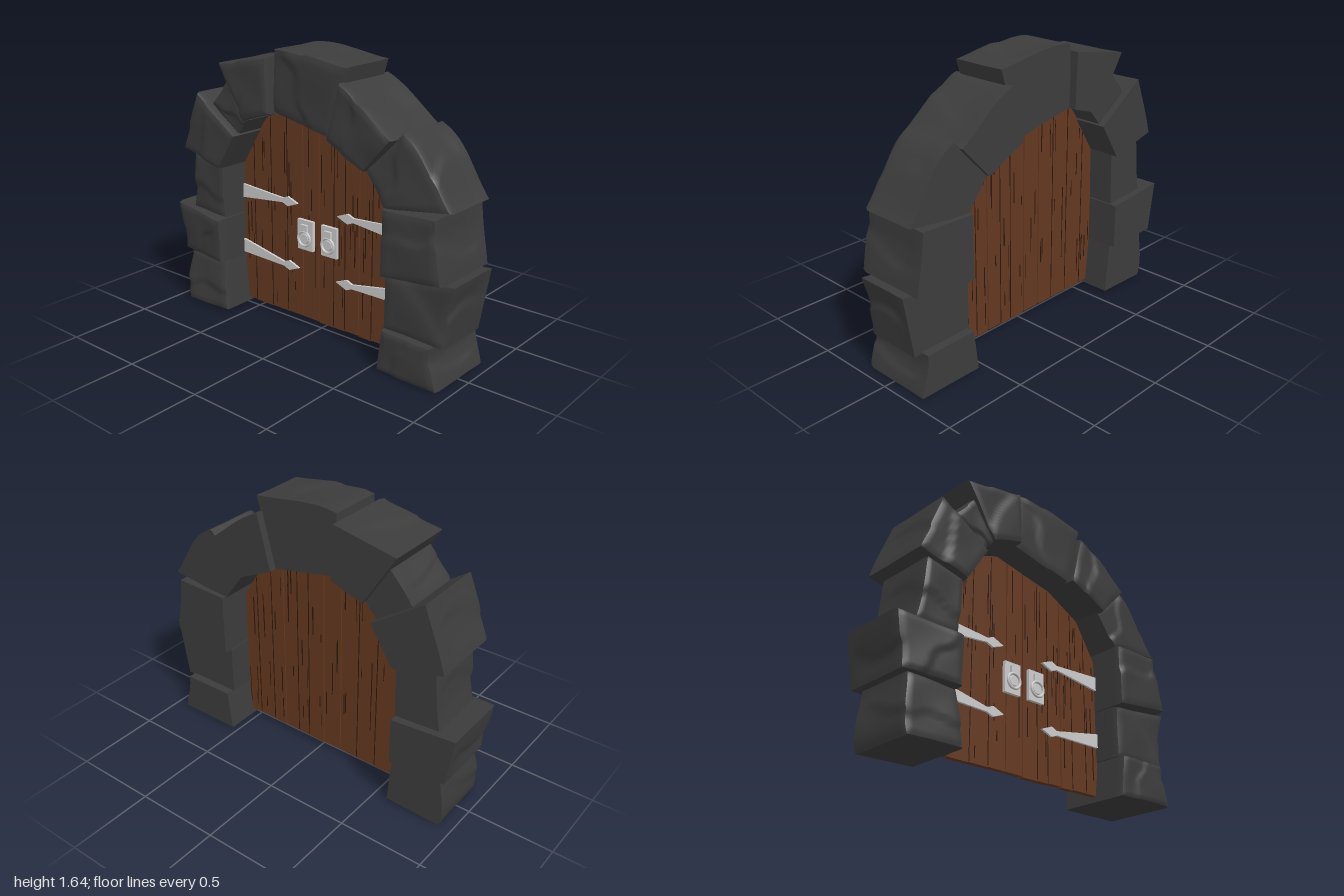
import * as THREE from 'three';

const mat = (color) => new THREE.MeshStandardMaterial({ color });
const stoneMat = mat(0x3c3c3c);
const woodMat = mat(0x643820);
const seamMat = mat(0x2c180c);
const metalMat = mat(0xbcbcbc);

// small seeded random
let seed = 7;
const rand = () => (seed = (seed * 16807) % 2147483647) / 2147483647;

const add = (group, geometry, material, name, x = 0, y = 0, z = 0) => {
  const mesh = new THREE.Mesh(geometry, material);
  mesh.name = name;
  mesh.position.set(x, y, z);
  group.add(mesh);
  return mesh;
};

const smooth = THREE.MathUtils.smoothstep;
const lerp = THREE.MathUtils.lerp;

// Arch stones, counterclockwise from the foot on the +x side.
// c: inner start, outer start, outer end, inner end; z: back, front; bulge of outer edge;
// taper: how far the front leans back toward the outer edge and toward the start
const STONES = [
  { c: [0.54, 0, 0.935, 0, 0.89, 0.235, 0.57, 0.24], z: [-0.23, 0.22], bulge: -0.01 },
  { c: [0.56, 0.235, 0.935, 0.225, 0.995, 0.585, 0.56, 0.535], z: [-0.18, 0.175], bulge: 0 },
  { c: [0.56, 0.54, 0.94, 0.58, 0.89, 0.92, 0.56, 0.91], z: [-0.23, 0.22], bulge: -0.005 },
  { c: [0.56, 0.9, 0.945, 0.945, 0.645, 1.305, 0.42, 1.09], z: [-0.2, 0.19], bulge: 0.035, taper: [0.03, 0] },
  { c: [0.44, 1.08, 0.62, 1.27, 0.27, 1.515, 0.19, 1.2], z: [-0.23, 0.22], bulge: 0.015 },
  { c: [0.19, 1.2, 0.305, 1.595, -0.215, 1.635, -0.23, 1.285], z: [-0.185, 0.17], bulge: 0.02 },
  { c: [-0.215, 1.28, -0.225, 1.595, -0.605, 1.525, -0.41, 1.215], z: [-0.23, 0.22], bulge: 0 },
  { c: [-0.4, 1.215, -0.54, 1.44, -0.68, 1.27, -0.48, 1.12], z: [-0.19, 0.19], bulge: 0.005 },
  { c: [-0.465, 1.12, -0.775, 1.335, -0.905, 0.98, -0.6, 0.905], z: [-0.23, 0.23], bulge: 0.005 },
  { c: [-0.6, 0.93, -0.835, 0.97, -0.88, 0.61, -0.61, 0.59], z: [-0.19, 0.19], bulge: -0.005 },
  { c: [-0.61, 0.585, -1, 0.62, -0.955, 0.325, -0.61, 0.315], z: [-0.23, 0.24], bulge: 0, taper: [0.05, 0] },
  { c: [-0.61, 0.315, -0.91, 0.33, -0.92, 0, -0.585, 0.01], z: [-0.195, 0.225], bulge: 0.02, taper: [0, 0.05] },
];

// Rough block: a box grid bent to four corners, worn and chipped toward the front
function stoneGeometry({ c, z, bulge, taper = [0, 0] }) {
  const geo = new THREE.BoxGeometry(1, 1, 1, 16, 16, 12);
  const pos = geo.attributes.position;
  const phase = rand() * 9;
  const angle = rand() * Math.PI;
  const edge = new THREE.Vector2(c[5] - c[3], c[2] - c[4]).normalize();
  for (let i = 0; i < pos.count; i++) {
    let u = pos.getX(i) + 0.5, v = pos.getY(i) + 0.5;
    const w = pos.getZ(i) + 0.5;
    const front = smooth(w, 0.9, 1);
    const rough = smooth(w, 0, 0.35);
    const rim = Math.max(Math.abs(u - 0.5), Math.abs(v - 0.5)) * 2;
    const inset = 1 - 0.035 * front;
    u = 0.5 + (u - 0.5) * inset;
    v = 0.5 + (v - 0.5) * inset;
    // chipped ledges across the front and over the outer side
    const line = (u - 0.5) * Math.cos(angle) + (v - 0.5) * Math.sin(angle)
      + 0.05 * Math.sin(7 * u + 5 * v + phase);
    const ledge = smooth(line, 0.06, 0.16);
    const crack = smooth(v + 0.15 * Math.sin(w * 4 + phase), 0.42, 0.52)
      * (1 - smooth(v, 0.6, 1)) * rough * smooth(u, 0.7, 1);
    const wave = Math.sin(6 * u + phase) * Math.sin(5 * v + 2 * phase);
    u -= 0.03 * crack + 0.008 * rough * (1 + wave) * smooth(u, 0.7, 1);
    const out = bulge * 6.75 * v * v * (1 - v) * u;
    const x = lerp(lerp(c[0], c[2], u), lerp(c[6], c[4], u), v) + edge.x * out;
    const y = lerp(lerp(c[1], c[3], u), lerp(c[7], c[5], u), v) + edge.y * out;
    const depth = front * (0.012 * ledge + 0.004 * (1 + wave) + 0.008 * smooth(rim, 0.85, 1))
      + w * (taper[0] * u + taper[1] * (1 - v));
    pos.setXYZ(i, x, Math.max(0, y), lerp(z[0], z[1], w) - depth);
  }
  geo.computeVertexNormals();
  return geo;
}

// Top line of the door
const ARCH = [[-0.62, 0.88], [-0.42, 1.2], [-0.23, 1.28], [0.19, 1.2], [0.42, 1.08], [0.57, 0.84]];
const topAt = (x) => {
  let i = 0;
  while (i < ARCH.length - 2 && x > ARCH[i + 1][0]) i++;
  const [a, b] = [ARCH[i], ARCH[i + 1]];
  return lerp(a[1], b[1], (x - a[0]) / (b[0] - a[0]));
};

const extrude = (points, depth) => new THREE.ExtrudeGeometry(
  new THREE.Shape(points.map(([x, y]) => new THREE.Vector2(x, y))), { depth, bevelEnabled: false });

const DOOR_BACK = -0.032;
const DOOR_FRONT = 0;

function buildDoor() {
  const door = new THREE.Group();
  door.name = 'door';
  const splits = [-0.61, -0.52, -0.385, -0.26, -0.14, -0.02, 0.09, 0.17, 0.27, 0.36, 0.47, 0.565];
  const open = [-0.14, -0.02, 0.27]; // see-through joints
  for (let i = 0; i < splits.length - 1; i++) {
    const x0 = splits[i] + (open.includes(splits[i]) ? 0.003 : 0);
    const x1 = splits[i + 1] - (open.includes(splits[i + 1]) ? 0.003 : 0);
    const bottom = 0.03 + 0.006 * rand();
    const between = ARCH.filter(([x]) => x > x0 && x < x1).reverse();
    const outline = [[x0, bottom], [x1, bottom], [x1, topAt(x1)], ...between, [x0, topAt(x0)]];
    add(door, extrude(outline, DOOR_FRONT - DOOR_BACK), woodMat, 'plank', 0, 0, DOOR_BACK);
    // dark seam along each closed joint
    if (i > 0 && !open.includes(splits[i])) {
      const h = topAt(splits[i]) - 0.05;
      add(door, new THREE.BoxGeometry(0.005, h, DOOR_FRONT - DOOR_BACK + 0.003), seamMat, 'plankSeam',
        splits[i], 0.04 + h / 2, (DOOR_FRONT + DOOR_BACK) / 2);
    }
    // grain cracks on both faces
    for (const z of [DOOR_FRONT, DOOR_BACK]) for (let k = 0; k < 4; k++) {
      const x = lerp(x0 + 0.01, x1 - 0.01, rand());
      const h = 0.05 + 0.22 * rand();
      const y = lerp(0.06 + h / 2, topAt(x) - h / 2 - 0.02, rand());
      add(door, new THREE.BoxGeometry(0.003 + 0.004 * rand(), h, 0.003), seamMat, 'grainCrack', x, y, z);
    }
  }
  return door;
}

// Tapered strap ending in a spear point, from the jamb (x0, y0) to the tip (x1, y1)
function hingeStrap(x0, y0, x1, y1) {
  const dir = Math.sign(x1 - x0);
  const neck = x1 - dir * 0.115;
  const wide = x1 - dir * 0.075;
  return extrude([
    [x0, y0 - 0.042], [neck, y1 - 0.013], [wide, y1 - 0.03], [x1, y1],
    [wide, y1 + 0.03], [neck, y1 + 0.013], [x0, y0 + 0.042],
  ], 0.014);
}

// Square plate with a boss and a hanging ring
function buildHandle(x) {
  const handle = new THREE.Group();
  handle.name = 'handle';
  handle.position.set(x, 0.558, DOOR_FRONT);
  add(handle, new THREE.BoxGeometry(0.114, 0.18, 0.02), metalMat, 'handlePlate', 0, 0, 0.01);
  add(handle, new THREE.BoxGeometry(0.046, 0.046, 0.02), metalMat, 'ringMount', 0, 0.043, 0.025);
  const boss = add(handle, new THREE.CylinderGeometry(0.027, 0.031, 0.01, 20), metalMat, 'boss', 0, -0.018, 0.024);
  boss.rotation.x = Math.PI / 2;
  add(handle, new THREE.TorusGeometry(0.043, 0.008, 8, 28), metalMat, 'ring', 0, -0.018, 0.03);
  return handle;
}

export function createModel() {
  const model = new THREE.Group();
  model.name = 'archedDoorway';

  const arch = new THREE.Group();
  arch.name = 'stoneArch';
  STONES.forEach((s) => add(arch, stoneGeometry(s), stoneMat, 'archStone'));

  const hinges = new THREE.Group();
  hinges.name = 'hinges';
  const straps = [
    [-0.61, 0.727, -0.172, 0.732], [-0.61, 0.375, -0.165, 0.337],
    [0.565, 0.713, 0.12, 0.722], [0.565, 0.36, 0.115, 0.328],
  ];
  straps.forEach((s) => add(hinges, hingeStrap(...s), metalMat, 'hingeStrap', 0, 0, DOOR_FRONT));

  model.add(arch, buildDoor(), hinges, buildHandle(-0.108), buildHandle(0.067));
  return model;
}
